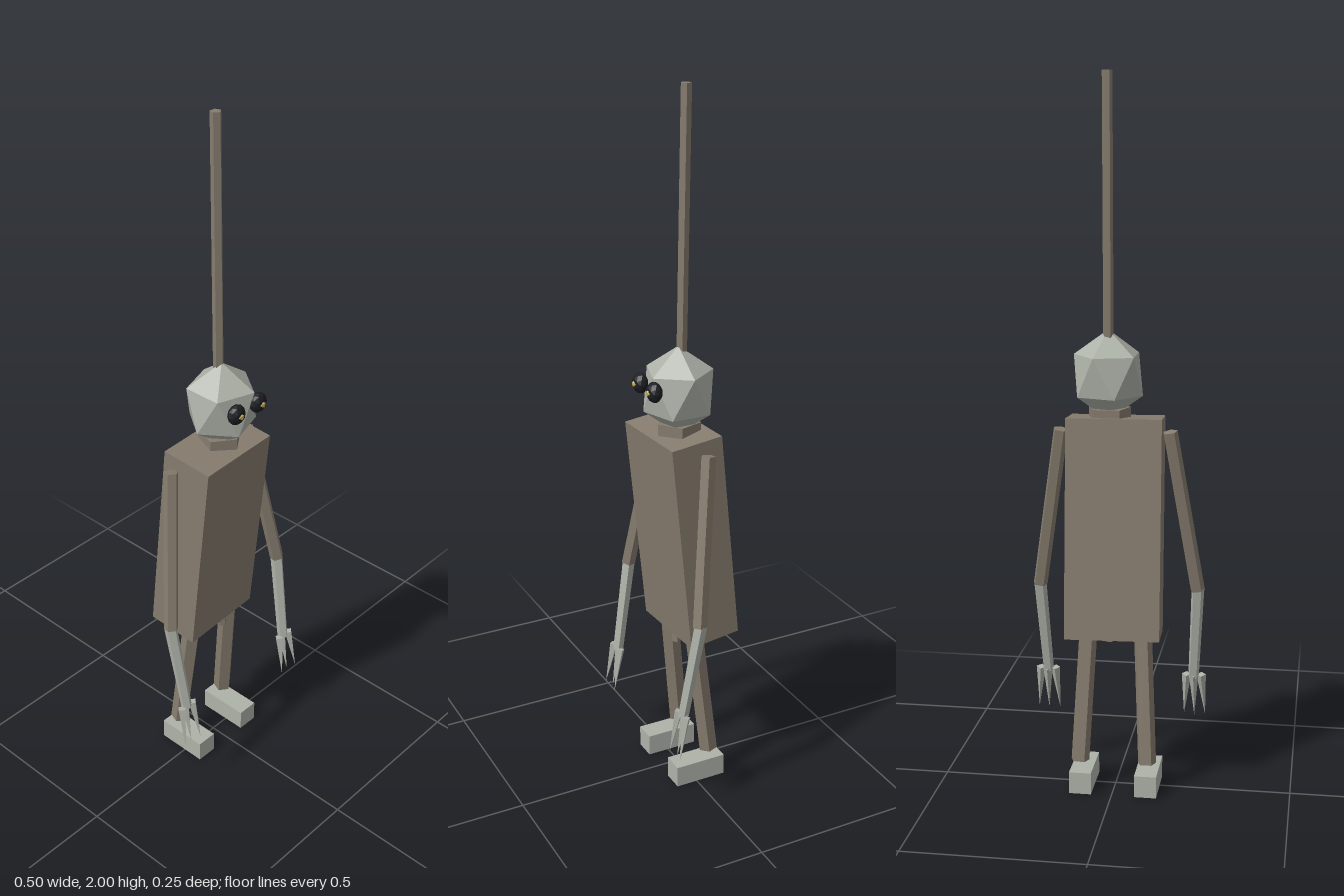
import * as THREE from 'three';

const flat = (name, color) => new THREE.MeshStandardMaterial({ name, color, flatShading: true });

export function createModel() {
  const model = new THREE.Group();
  model.name = 'hangingFigure';

  const wood = flat('weathered brown', 0x867c6e);
  const skin = flat('pale grey', 0xaeb3a9);
  const black = flat('eye black', 0x1c1d21);
  const gold = flat('pupil gold', 0xc4a552);

  function add(name, geometry, material, position, parent = model) {
    const mesh = new THREE.Mesh(geometry, material);
    mesh.name = name;
    mesh.position.set(...position);
    parent.add(mesh);
    return mesh;
  }

  // Straight low-poly rod from the upper point to the lower point
  function rod(name, top, bottom, rTop, rBottom, material, sides = 5, parent = model) {
    const a = new THREE.Vector3(...top), b = new THREE.Vector3(...bottom);
    const dir = a.clone().sub(b);
    const geometry = new THREE.CylinderGeometry(rTop, rBottom, dir.length(), sides);
    const mid = a.add(b).multiplyScalar(0.5);
    const mesh = add(name, geometry, material, mid.toArray(), parent);
    mesh.quaternion.setFromUnitVectors(new THREE.Vector3(0, 1, 0), dir.normalize());
    return mesh;
  }

  // Torso leaning forward and turned slightly
  const torso = add('torso', new THREE.BoxGeometry(0.263, 0.612, 0.155), wood, [0, 0.768, -0.014]);
  torso.rotation.set(0.1, 0.05, 0, 'YXZ');

  // Rope passing down through head and torso, with a collar at the neck
  rod('rope', [0.022, 2, -0.012], [0.02, 0.425, 0.015], 0.015, 0.015, wood);
  add('neckCollar', new THREE.CylinderGeometry(0.062, 0.062, 0.05, 5), wood, [0.02, 1.075, 0.008]);

  // Faceted head standing on one corner
  const headGeometry = new THREE.IcosahedronGeometry(0.107, 0);
  headGeometry.rotateZ(-Math.atan(2 / (1 + Math.sqrt(5))));
  headGeometry.scale(1, 1.17, 1);
  add('head', headGeometry, skin, [0.022, 1.19, 0.01]);

  // Bulging eyes with small pupils
  for (const x of [-0.021, 0.064]) {
    const eye = new THREE.Group();
    eye.name = 'eye';
    eye.position.set(x, 1.212, 0.103);
    model.add(eye);
    add('eyeball', new THREE.IcosahedronGeometry(0.028, 1).scale(1, 1.05, 0.75), black, [0, 0, 0], eye);
    add('pupil', new THREE.IcosahedronGeometry(0.012, 0), gold, [0, 0, 0.013], eye);
  }

  for (const s of [-1, 1]) {
    const side = s > 0 ? 'left' : 'right';

    // Arm with a pale forearm
    const arm = new THREE.Group();
    arm.name = side + 'Arm';
    model.add(arm);
    rod('upperArm', [s * 0.152, 1.04, -0.013], [s * 0.226, 0.575, 0.05], 0.021, 0.021, wood, 5, arm);
    rod('forearm', [s * 0.227, 0.58, 0.048], [s * 0.213, 0.3, 0.094], 0.019, 0.016, skin, 5, arm);

    // Three claws spreading from the wrist
    for (const k of [-1, 0, 1]) {
      const z = k === 0 ? -0.008 : 0;
      rod('claw', [s * 0.214 + k * 0.021, 0.307, 0.096 + z], [s * 0.215 + k * 0.031, 0.176, 0.121 + z],
        0.014, 0, skin, 4, arm);
    }

    // Leg slanting back to a block foot just below it
    rod(side + 'Leg', [s * 0.076, 0.5, -0.007], [s * 0.096, 0.087, -0.05], 0.027, 0.027, wood);
    add(side + 'Foot', new THREE.BoxGeometry(0.063, 0.063, 0.153), skin, [s * 0.093 - 0.003, 0.0315, -0.013]);
  }
  return model;
}
